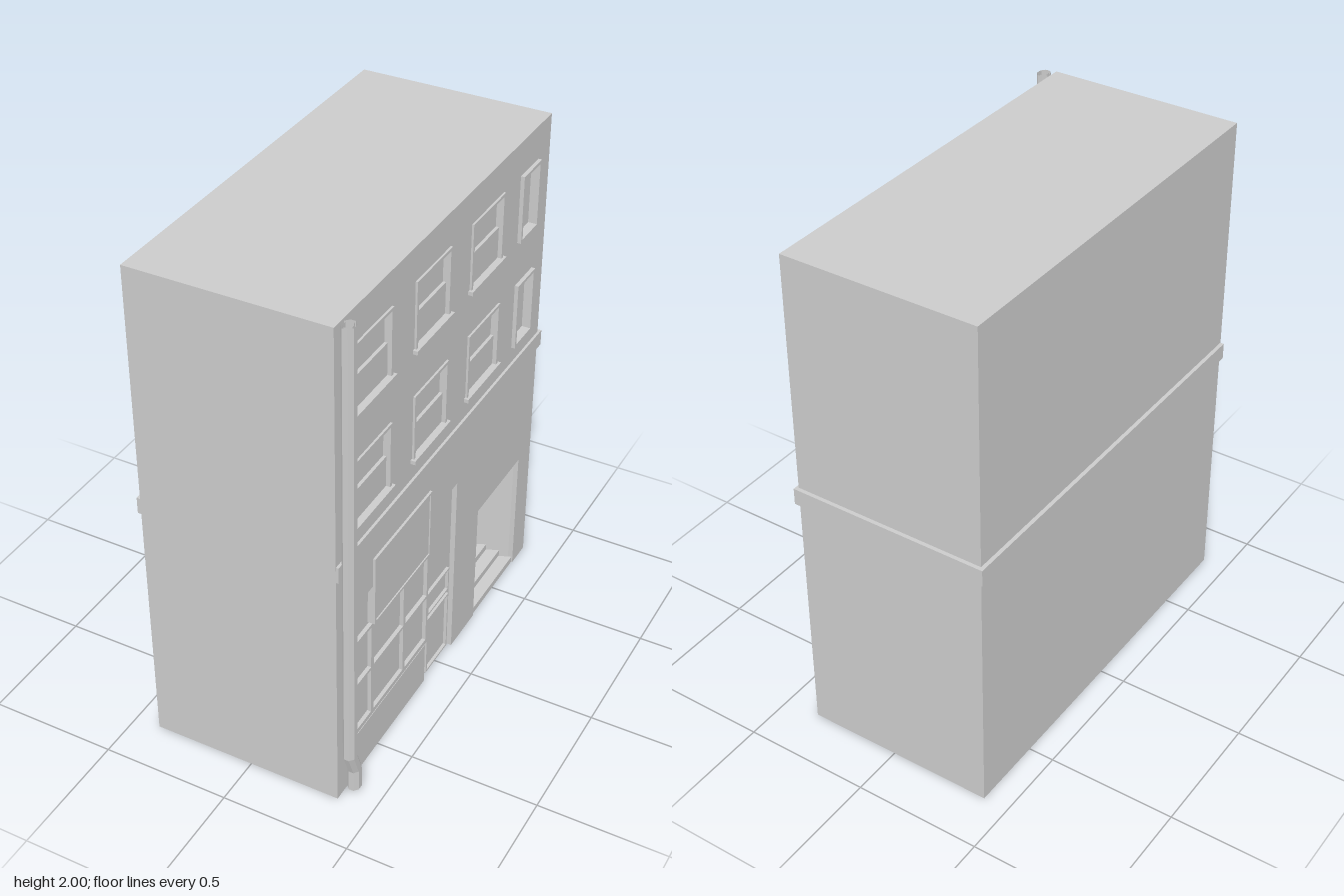
import * as THREE from 'three';

const WALL = 0.36;   // outer face of the detailed right-hand facade
const CORE = 0.34;   // plane behind the facade recesses
const FRONT = 0.81, BACK = -0.795, LEFT = -0.4;

const mat = new THREE.MeshStandardMaterial({ color: 0xcccccc, flatShading: true });
const openMat = new THREE.MeshStandardMaterial({ color: 0xcccccc, flatShading: true, side: THREE.DoubleSide });

function add(parent, name, geo, material = mat) {
  const m = new THREE.Mesh(geo, material);
  m.name = name;
  parent.add(m);
  return m;
}

// Box given by its limits
function box(parent, name, x0, x1, y0, y1, z0, z1) {
  const g = new THREE.BoxGeometry(x1 - x0, y1 - y0, Math.abs(z1 - z0));
  g.translate((x0 + x1) / 2, (y0 + y1) / 2, (z0 + z1) / 2);
  return add(parent, name, g);
}

// Rectangle in facade coordinates (u = -z, v = y)
function rect(z0, z1, y0, y1, Type = THREE.Shape) {
  const p = [[-z0, y0], [-z1, y0], [-z1, y1], [-z0, y1]];
  return new Type(p.map(([u, v]) => new THREE.Vector2(u, v)));
}

// Extrude a facade shape outwards along +x
function relief(parent, name, shape, x0, x1) {
  const g = new THREE.ExtrudeGeometry(shape, { depth: x1 - x0, bevelEnabled: false });
  g.rotateY(Math.PI / 2).translate(x0, 0, 0);
  return add(parent, name, g);
}

// Rectangular border of width t
function border(parent, name, z0, z1, y0, y1, t, x0, x1) {
  const s = rect(z0, z1, y0, y1);
  s.holes.push(rect(z0 - t, z1 + t, y0 + t, y1 - t, THREE.Path));
  return relief(parent, name, s, x0, x1);
}

// Upright prism from a plan of [x, z] points
function prism(parent, name, plan, y0, y1) {
  const s = new THREE.Shape(plan.map(([x, z]) => new THREE.Vector2(x, -z)));
  const g = new THREE.ExtrudeGeometry(s, { depth: y1 - y0, bevelEnabled: false });
  g.rotateX(-Math.PI / 2).translate(0, y0, 0);
  return add(parent, name, g);
}

// Downpipe: straight tube whose lower rings step sideways
function downpipe(parent) {
  const rings = [[2, 0.773], [0.2, 0.773], [0.11, 0.74], [0.02, 0.74]];
  for (const [name, r] of [['downpipe', 1], ['downpipeInside', 0.72]]) {
    const g = new THREE.CylinderGeometry(1, 1, 3, 8, 3, true, Math.PI / 8);
    const p = g.attributes.position;
    for (let i = 0; i < p.count; i++) {
      const [y, z] = rings[Math.round(1.5 - p.getY(i))];
      p.setXYZ(i, 0.391 + p.getX(i) * 0.025 * r, y, z + p.getZ(i) * 0.03 * r);
    }
    g.computeVertexNormals();
    add(parent, name, g, openMat);
  }
}

export function createModel() {
  const building = new THREE.Group();
  building.name = 'building';

  // Solid core, with the entrance niche cut out of its lower part
  const niche = [[CORE, -0.685], [0.19, -0.62], [0.15, -0.59],
    [0.15, -0.41], [0.19, -0.375], [CORE, -0.31]];
  prism(building, 'lowerCore', [[LEFT, FRONT], [CORE, FRONT], ...niche.slice().reverse(),
    [CORE, BACK], [LEFT, BACK]], 0, 0.53);
  box(building, 'upperCore', LEFT, CORE, 0.53, 2, BACK, FRONT);

  // Upper windows: [z0, z1, y0, y1, hasTwoSashes]
  const windows = [];
  for (const y of [1.15, 1.6]) {
    for (const z of [0.69, 0.27, -0.148]) windows.push([z, z - 0.256, y, y + 0.27, true]);
    windows.push([-0.545, -0.695, y - 0.005, y + 0.265, false]);
  }

  // Facade sheet with the shopfront and entrance notches and window holes
  const outline = [[FRONT, 0], [0.735, 0], [0.735, 0.8], [-0.11, 0.8], [-0.11, 0], [-0.31, 0],
    [-0.31, 0.53], [-0.685, 0.53], [-0.685, 0], [BACK, 0], [BACK, 2], [FRONT, 2]];
  const facade = new THREE.Shape(outline.map(([z, y]) => new THREE.Vector2(-z, y)));
  const t = 0.012;
  for (const [z0, z1, y0, y1] of windows) {
    facade.holes.push(rect(z0 - t, z1 + t, y0 + t, y1 - t, THREE.Path));
  }
  relief(building, 'facade', facade, CORE, WALL);

  for (const [z0, z1, y0, y1, sashes] of windows) {
    const w = new THREE.Group();
    w.name = 'window';
    building.add(w);
    border(w, 'windowFrame', z0, z1, y0, y1, t, WALL, sashes ? 0.368 : 0.375);
    if (sashes) {
      const mid = (y0 + y1) / 2;
      box(w, 'lowerSash', CORE, 0.352, y0 + t, mid, z0 - t, z1 + t);
      box(w, 'windowSill', WALL, 0.378, y0 - 0.003, y0 + t, z0 + 0.01, z1 - 0.01);
    }
  }

  // String course around the right, back and left walls
  const course = [[-0.415, FRONT - 0.001], [0.37, FRONT - 0.001], [0.37, -0.81], [-0.415, -0.81]];
  prism(building, 'stringCourse', course, 1.01, 1.075);

  // Entrance steps rising into the niche
  for (let i = 0; i < 3; i++) {
    const x = WALL - 0.005 - i * 0.05;
    const inset = Math.max(0, CORE - x) * 0.43;
    prism(building, 'entranceStep', [[x, -0.31 - inset], [x, -0.685 + inset],
      ...niche.slice(1, 5)], 0, 0.027 * (i + 1));
  }

  // Shopfront: base panel, glazing bars, sign board and door
  const shop = new THREE.Group();
  shop.name = 'shopfront';
  building.add(shop);
  box(shop, 'shopBasePanel', CORE, 0.357, 0, 0.185, 0.735, 0.12);
  const glazing = rect(0.725, 0.1, 0.185, 0.622);
  for (const [y0, y1] of [[0.205, 0.41], [0.422, 0.61]]) {
    for (const [z0, z1] of [[0.71, 0.55], [0.53, 0.302], [0.284, 0.113]]) {
      glazing.holes.push(rect(z0, z1, y0, y1, THREE.Path));
    }
  }
  relief(shop, 'shopWindowBars', glazing, CORE, 0.355);
  box(shop, 'signBoard', CORE, 0.364, 0.63, 0.922, 0.55, 0.118);
  border(shop, 'signRim', 0.55, 0.118, 0.63, 0.922, 0.01, 0.364, 0.369);
  border(shop, 'doorLowerPanel', 0.095, -0.085, 0.02, 0.285, 0.008, CORE, 0.352);
  border(shop, 'doorUpperPanel', 0.095, -0.085, 0.305, 0.412, 0.008, CORE, 0.352);

  downpipe(building);
  return building;
}
